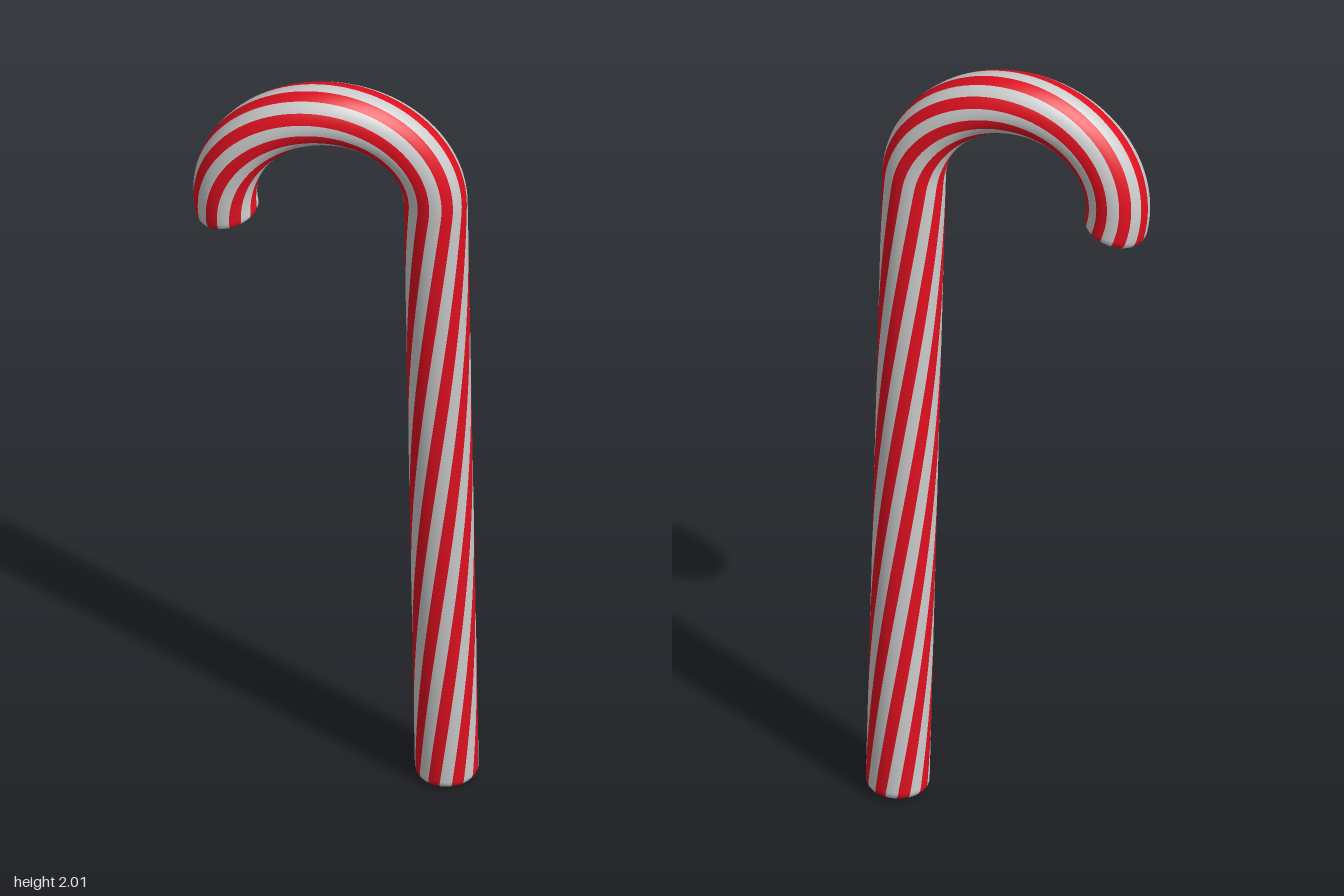
import * as THREE from 'three';

const R = 0.074;              // cane radius
const HOOK = 0.245;           // hook centreline radius
const CX = -0.013, CY = 1.69; // hook centre
const STRIPES = 8, SEG = 4;   // red stripes, segments across each stripe
const SIDES = STRIPES * 2 * SEG;
const TWIST = 1.88;           // radians per unit of length

const A0 = 0.012, A1 = THREE.MathUtils.degToRad(197);
const foot = new THREE.Vector2(0.252, 0.003);
const shoulder = new THREE.Vector2(CX + HOOK * Math.cos(A0), CY + HOOK * Math.sin(A0));
const STEM = foot.distanceTo(shoulder);
const LENGTH = STEM + HOOK * (A1 - A0);
const APEX = STEM + HOOK * (Math.PI / 2 - A0);

// The cane lies in one slightly leaning plane
const depth = (x, y) => -0.046 + 0.048 * y + 0.03 * (x - 0.25);
const binormal = new THREE.Vector3(-0.03, -0.048, 1).normalize();

// Centreline: straight stem, then the hook arc
function centre(s) {
  let p;
  if (s < STEM) p = foot.clone().lerp(shoulder, s / STEM);
  else {
    const a = A0 + (s - STEM) / HOOK;
    p = new THREE.Vector2(CX + HOOK * Math.cos(a), CY + HOOK * Math.sin(a));
  }
  return new THREE.Vector3(p.x, p.y, depth(p.x, p.y));
}

function outward(s) {
  const a = s < STEM ? A0 : A0 + (s - STEM) / HOOK;
  const tx = -Math.sin(a), ty = Math.cos(a);
  const tangent = new THREE.Vector3(tx, ty, 0.048 * ty + 0.03 * tx).normalize();
  return tangent.cross(binormal).normalize();
}

// Rings [distance along cane, radius], with softly rounded ends
function makeRings() {
  const fillet = 0.024, cap = [[0, 0], [0.001, R * 0.35]];
  for (let i = 0; i <= 6; i++) {
    const a = (i / 6) * Math.PI / 2;
    cap.push([0.003 + fillet * (1 - Math.cos(a)), R - fillet + fillet * Math.sin(a)]);
  }
  const start = cap[cap.length - 1][0], body = [];
  for (let i = 1; i < 40; i++) body.push([start + (STEM - start) * i / 40, R]);
  for (let i = 0; i < 60; i++) body.push([STEM + (LENGTH - start - STEM) * i / 60, R]);
  const end = cap.map(([s, r]) => [LENGTH - s, r]).reverse();
  return [...cap, ...body, ...end];
}

export function createModel() {
  const rings = makeRings();
  const positions = [], red = [], grey = [];

  // Twisted rings of vertices
  for (const [s, r] of rings) {
    const c = centre(s), n = outward(s);
    for (let j = 0; j < SIDES; j++) {
      const phi = (j + SEG / 2) / SIDES * Math.PI * 2 - TWIST * (s - APEX);
      const p = c.clone()
        .addScaledVector(n, r * Math.cos(phi))
        .addScaledVector(binormal, r * Math.sin(phi));
      positions.push(p.x, p.y, p.z);
    }
  }

  // Faces, alternating between the two colours around the cane
  for (let i = 0; i < rings.length - 1; i++) {
    for (let j = 0; j < SIDES; j++) {
      const k = (j + 1) % SIDES;
      const a = i * SIDES + j, b = i * SIDES + k, c = a + SIDES, d = b + SIDES;
      (Math.floor(j / SEG) % 2 === 0 ? red : grey).push(a, c, b, b, c, d);
    }
  }

  // Normals come from the whole surface so stripes meet smoothly
  const whole = new THREE.BufferGeometry();
  whole.setAttribute('position', new THREE.Float32BufferAttribute(positions, 3));
  whole.setIndex([...red, ...grey]);
  whole.computeVertexNormals();

  const group = new THREE.Group();
  group.name = 'candyCane';
  const addStripes = (name, index, color) => {
    const geometry = whole.clone();
    geometry.setIndex(index);
    const mesh = new THREE.Mesh(geometry, new THREE.MeshStandardMaterial({ color }));
    mesh.name = name;
    group.add(mesh);
  };
  addStripes('redStripes', red, 0xe01020);
  addStripes('paleStripes', grey, 0xcccccc);
  return group;
}
